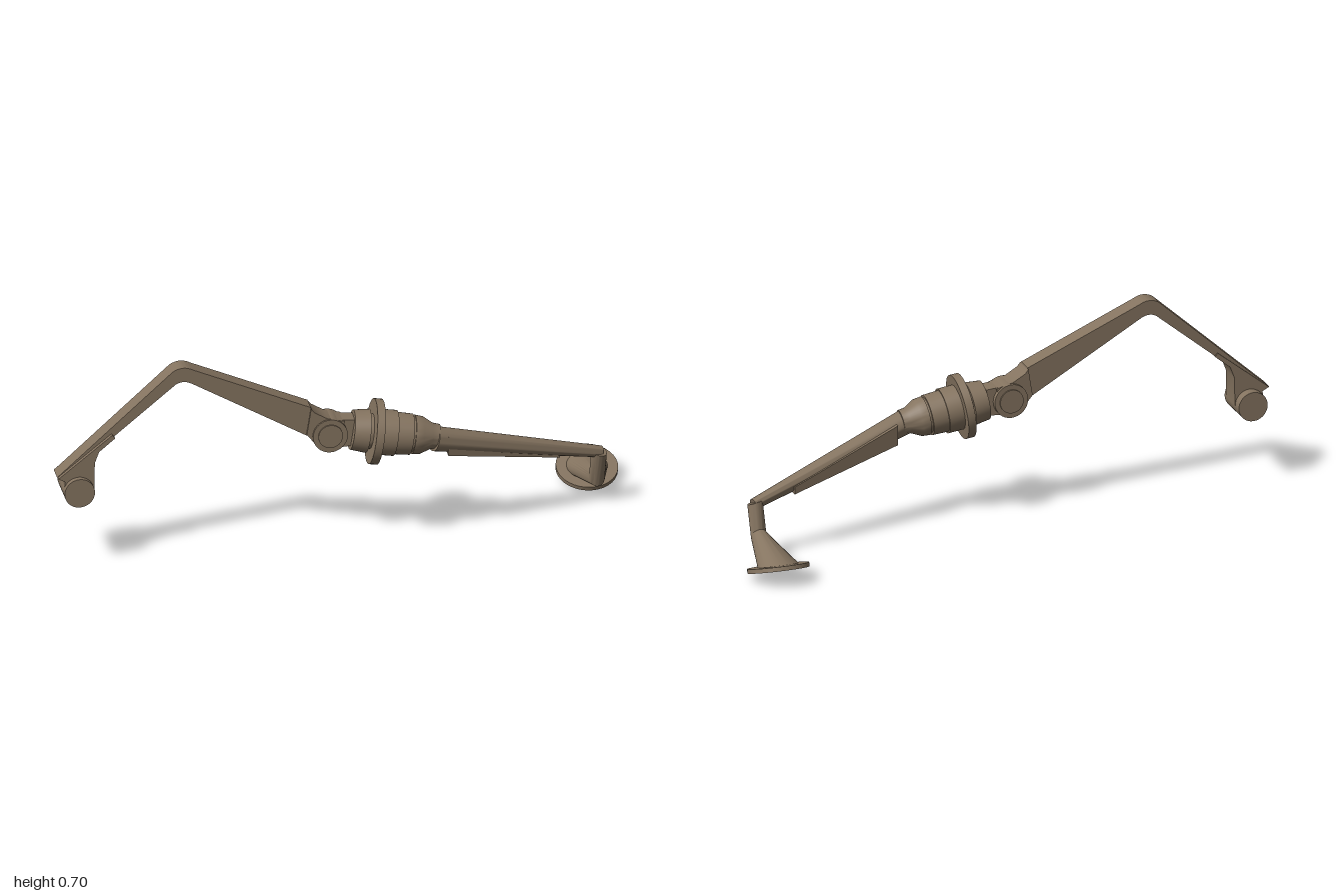
import * as THREE from 'three';
import { toCreasedNormals } from 'three/addons/utils/BufferGeometryUtils.js';

const V = (x, y, z) => new THREE.Vector3(x, y, z);

export function createModel() {
  const group = new THREE.Group();
  const bronze = new THREE.MeshStandardMaterial({ color: 0x857460 });
  bronze.name = 'bronze';

  const add = (name, geometry, crease = 0.6) => {
    const mesh = new THREE.Mesh(toCreasedNormals(geometry, crease), bronze);
    mesh.name = name;
    group.add(mesh);
    return mesh;
  };

  // Turn a y-aligned mesh so that it runs from a towards b
  const aim = (mesh, a, b) =>
    mesh.quaternion.setFromUnitVectors(V(0, 1, 0), b.clone().sub(a).normalize());

  // Round tapered bar between two points
  const rod = (name, a, b, ra, rb = ra) => {
    const mesh = add(name, new THREE.CylinderGeometry(rb, ra, a.distanceTo(b), 32));
    mesh.position.copy(a).add(b).multiplyScalar(0.5);
    aim(mesh, a, b);
  };

  // Side profile with depth from z0 to z1
  const plate = (name, shape, z0, z1) => {
    const geometry = new THREE.ExtrudeGeometry(shape, {
      depth: z1 - z0, bevelEnabled: false, curveSegments: 12,
    });
    geometry.translate(0, 0, z0);
    add(name, geometry);
  };
  const polygon = (points) => new THREE.Shape(points.map(([x, y]) => new THREE.Vector2(x, y)));

  // Skin over rings given as [centre, u, v], closed at both ends
  const loft = (name, rings, sides, turn = 0, crease = 0.6) => {
    const positions = [], index = [];
    for (const [c, u, v] of rings) {
      for (let i = 0; i < sides; i++) {
        const t = turn + (i / sides) * Math.PI * 2;
        const p = c.clone().addScaledVector(u, Math.cos(t)).addScaledVector(v, Math.sin(t));
        positions.push(p.x, p.y, p.z);
      }
    }
    const last = (rings.length - 1) * sides;
    for (let i = 0; i < sides; i++) {
      const j = (i + 1) % sides;
      for (let k = 0; k < last; k += sides) {
        index.push(k + i, k + j, k + sides + j, k + i, k + sides + j, k + sides + i);
      }
      if (i > 0 && i < sides - 1) index.push(0, i + 1, i, last, last + i, last + i + 1);
    }
    const geometry = new THREE.BufferGeometry();
    geometry.setAttribute('position', new THREE.Float32BufferAttribute(positions, 3));
    geometry.setIndex(index);
    geometry.computeVertexNormals();
    add(name, geometry, crease);
  };

  // Bent upper arm with a rounded apex
  const arm = new THREE.Shape();
  arm.moveTo(-0.997, 0.33);
  arm.lineTo(-0.965, 0.315);
  arm.lineTo(-0.87, 0.41);
  arm.lineTo(-0.59, 0.642);
  arm.quadraticCurveTo(-0.565, 0.658, -0.535, 0.642);
  arm.lineTo(-0.14, 0.415);
  arm.lineTo(-0.06, 0.415);
  arm.lineTo(-0.06, 0.47);
  arm.lineTo(-0.115, 0.485);
  arm.lineTo(-0.125, 0.518);
  arm.lineTo(-0.53, 0.692);
  arm.quadraticCurveTo(-0.565, 0.712, -0.6, 0.69);
  plate('upperArm', arm, 0.125, 0.188);

  // Bracket and pin at the far end of the upper arm
  plate('endBracket', polygon([
    [-0.995, 0.33], [-0.972, 0.318], [-0.975, 0.28], [-0.872, 0.28],
    [-0.87, 0.38], [-0.855, 0.42], [-0.8, 0.466], [-0.81, 0.478],
  ]), 0.12, 0.202);
  rod('endPin', V(-0.925, 0.28, 0.085), V(-0.925, 0.28, 0.222), 0.052);

  // Middle knuckle
  plate('knuckleBracket', polygon([
    [-0.14, 0.42], [-0.1, 0.37], [-0.03, 0.37], [-0.01, 0.46], [-0.07, 0.475],
    [-0.113, 0.5], [-0.125, 0.515],
  ]), 0.118, 0.195);
  rod('knuckle', V(-0.06, 0.412, 0.108), V(-0.06, 0.412, 0.202), 0.06);
  rod('knucklePin', V(-0.06, 0.412, 0.103), V(-0.06, 0.412, 0.207), 0.042);
  plate('knuckleLink', polygon([[-0.06, 0.36], [0.04, 0.365], [0.04, 0.457], [-0.06, 0.465]]), 0.125, 0.188);

  // Stepped rotary joint with a wide flange
  const a = V(0.02, 0.41, 0.158), b = V(0.3, 0.368, 0.17);
  const profile = [
    [0, 0], [0.068, 0], [0.075, 0.055], [0.06, 0.055], [0.06, 0.068], [0.112, 0.068],
    [0.112, 0.096], [0.078, 0.096], [0.078, 0.15], [0.072, 0.15], [0.07, 0.205],
    [0.062, 0.205], [0.062, 0.212], [0.067, 0.212], [0.064, 0.24], [0.045, 0.275],
    [0.042, 0.3], [0, 0.3],
  ].map(([r, s]) => new THREE.Vector2(r, s));
  const joint = add('rotaryJoint', new THREE.LatheGeometry(profile, 40));
  joint.position.copy(a);
  aim(joint, a, b);

  // Tapered lower arm with a square rib underneath
  rod('lowerArm', V(0.3, 0.362, 0.178), V(0.9, 0.198, 0.035), 0.043, 0.02);
  const q = Math.SQRT2;
  loft('lowerArmRib', [
    [V(0.345, 0.34, 0.162), V(0, 0.035 * q, 0), V(0, 0, 0.042 * q)],
    [V(0.75, 0.225, 0.063), V(0, 0.013 * q, 0), V(0, 0, 0.025 * q)],
  ], 4, Math.PI / 4, 0.3);

  // Ankle pipe bending into a flared foot
  loft('anklePipe', [
    [V(0.893, 0.203, 0.04), V(0.026, -0.006, 0), V(0, -0.008, 0.026)],
    [V(0.89, 0.093, 0.013), V(0.027, 0, 0), V(0, -0.027, 0.017)],
    [V(0.89, 0.052, -0.173), V(0.07, 0, 0), V(0, -0.0227, 0.064)],
  ], 32, 0, 0.7);

  // Tilted foot disc
  const centre = V(0.89, 0.044, -0.175), normal = V(0, 0.943, 0.333).multiplyScalar(0.0075);
  rod('footDisc', centre.clone().sub(normal), centre.clone().add(normal), 0.106);

  return group;
}
